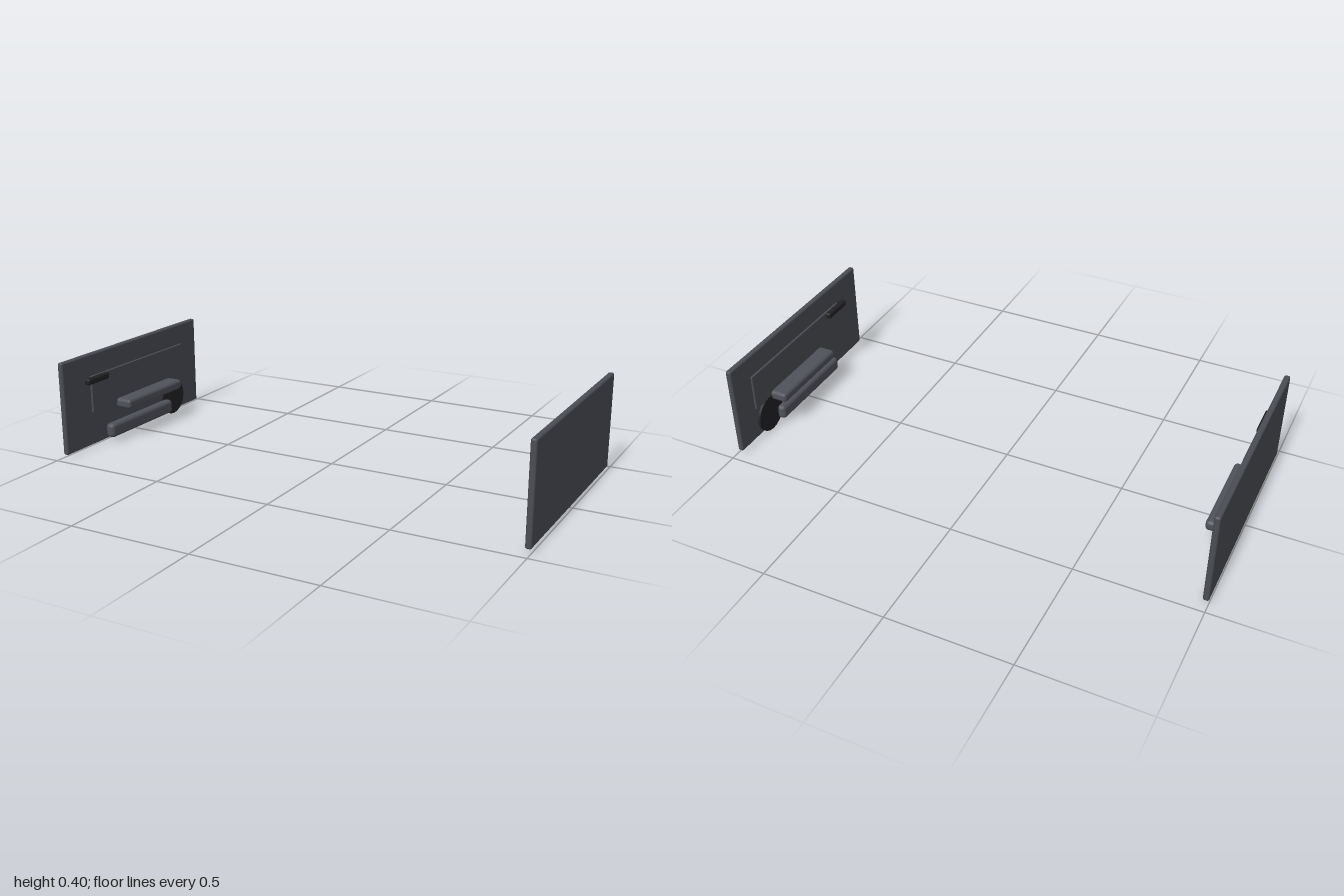
import * as THREE from 'three';
import { RoundedBoxGeometry } from 'three/addons/geometries/RoundedBoxGeometry.js';

function material(name, color) {
  const m = new THREE.MeshStandardMaterial({ color });
  m.name = name;
  return m;
}

export function createModel() {
  const trim = material('grey trim', 0x4b4d54);
  const pad = material('padded grey', 0x50525a);
  const dark = material('dark plastic', 0x222224);

  // Bevelled block given by its min and max corners
  function block(name, mat, [x0, y0, z0], [x1, y1, z1], bevel) {
    const geo = new RoundedBoxGeometry(x1 - x0, y1 - y0, z1 - z0, 2, bevel);
    const mesh = new THREE.Mesh(geo, mat);
    mesh.name = name;
    mesh.position.set((x0 + x1) / 2, (y0 + y1) / 2, (z0 + z1) / 2);
    return mesh;
  }

  // One door lining on the +x side (or mirrored by s = -1), inside facing the centre
  function door(s) {
    const g = new THREE.Group();
    g.name = s > 0 ? 'leftDoorPanel' : 'rightDoorPanel';
    const part = (name, mat, a, b, bevel) => {
      const mesh = block(name, mat, a, b, bevel);
      mesh.position.x *= s;
      g.add(mesh);
    };
    part('panel', trim, [0.976, 0.013, -0.46], [1.0, 0.402, 0.46], 0.008);
    part('inset', trim, [0.968, 0.152, -0.345], [0.984, 0.31, 0.295], 0.003);
    part('armrest', pad, [0.9, 0.133, -0.24], [0.978, 0.175, 0.14], 0.014);
    part('pocket', pad, [0.936, 0.02, -0.215], [0.978, 0.082, 0.215], 0.017);
    part('handle', dark, [0.948, 0.281, 0.2], [0.974, 0.309, 0.335], 0.009);

    // Round speaker grille, low on the rear
    const speaker = new THREE.Mesh(new THREE.CylinderGeometry(0.079, 0.079, 0.016, 20), dark);
    speaker.name = 'speaker';
    speaker.rotation.z = Math.PI / 2;
    speaker.position.set(s * 0.974, 0.079, -0.26);
    g.add(speaker);
    return g;
  }

  const model = new THREE.Group();
  model.name = 'doorPanels';
  model.add(door(1), door(-1));
  return model;
}
